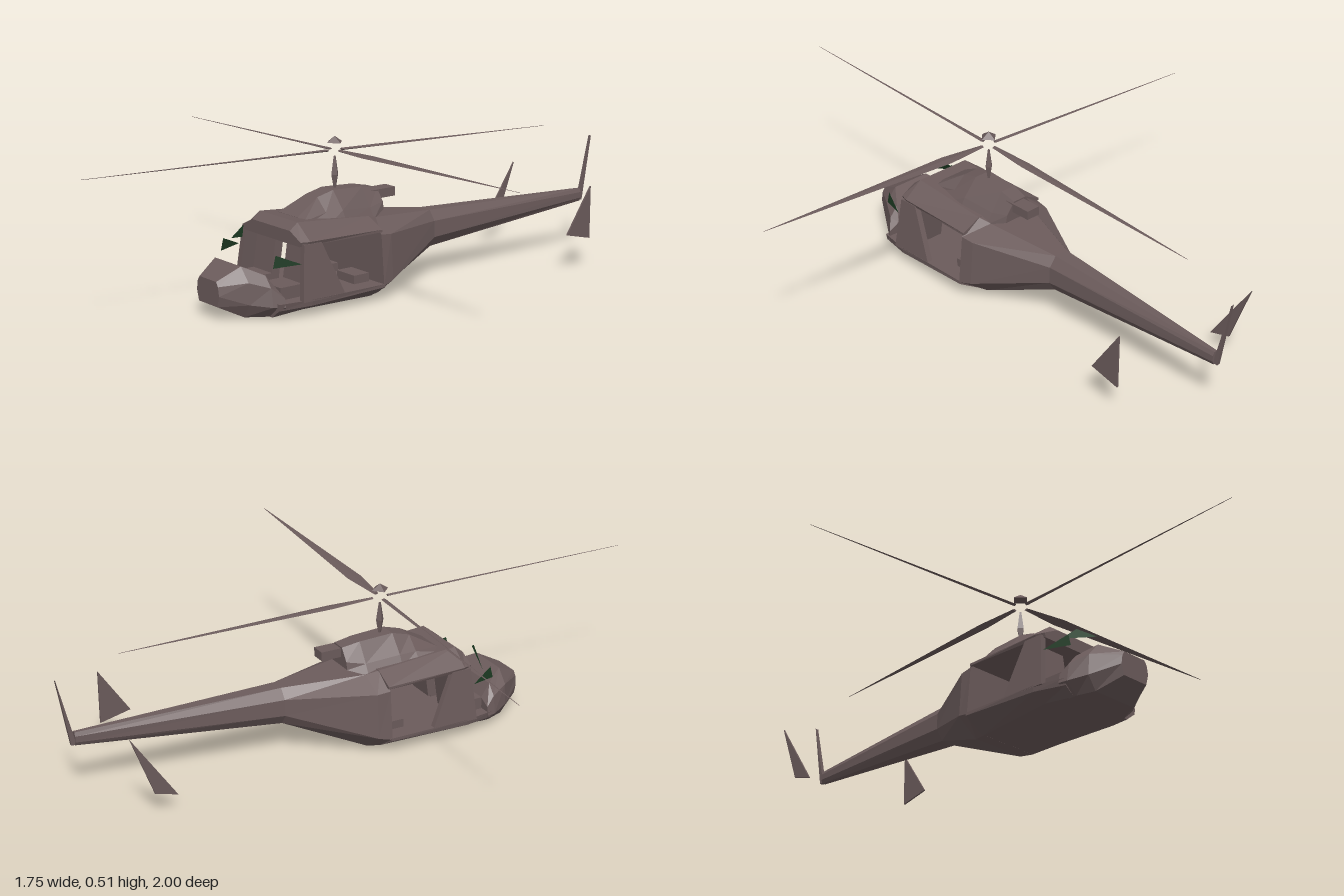
import * as THREE from 'three';

const brown = new THREE.MeshStandardMaterial({ color: 0x6b5b5b, flatShading: true, side: THREE.DoubleSide });
brown.name = 'brownHull';
const green = new THREE.MeshStandardMaterial({ color: 0x1c3a22, flatShading: true, side: THREE.DoubleSide });
green.name = 'greenGlass';

function meshFrom(name, positions, material = brown) {
  const g = new THREE.BufferGeometry();
  g.setAttribute('position', new THREE.Float32BufferAttribute(positions, 3));
  g.computeVertexNormals();
  const m = new THREE.Mesh(g, material);
  m.name = name;
  return m;
}

// Skin over a row of equal-length rings of [x, y, z], closed at both ends
function loft(name, rings) {
  const out = [];
  const n = rings[0].length;
  const tri = (a, b, c) => out.push(...a, ...b, ...c);
  for (let r = 0; r < rings.length - 1; r++) {
    const a = rings[r], b = rings[r + 1];
    for (let i = 0; i < n; i++) {
      const j = (i + 1) % n;
      tri(a[i], b[i], b[j]);
      tri(a[i], b[j], a[j]);
    }
  }
  const first = rings[0], last = rings[rings.length - 1];
  for (let i = 1; i < n - 1; i++) {
    tri(first[0], first[i], first[i + 1]);
    tri(last[0], last[i + 1], last[i]);
  }
  return meshFrom(name, out);
}

// Symmetric hull ring: steps are [halfWidth, y] from bottom to top
function ring(z, cx, steps) {
  const side = s => steps.map(([w, y]) => [cx + s * w, y, z]);
  return [...side(1), ...side(-1).reverse()];
}

function box(name, w, h, d, x, y, z) {
  const m = new THREE.Mesh(new THREE.BoxGeometry(w, h, d), brown);
  m.name = name;
  m.position.set(x, y, z);
  return m;
}

// Flat triangle plate with a little thickness across x
function finPlate(name, x, pts, t = 0.004) {
  const at = dx => pts.map(([y, z]) => [x + dx, y, z]);
  return loft(name, [at(t), at(-t)]);
}

// Tapered rotor blade from the hub to a pointed tip
function blade(name, tip, width) {
  const hub = new THREE.Vector3(0, 0.47, 0.09);
  const end = new THREE.Vector3(...tip);
  const dir = end.clone().sub(hub).normalize();
  const across = new THREE.Vector3(-dir.z, 0, dir.x).normalize();
  const slice = (f, w, h) => {
    const c = hub.clone().lerp(end, f);
    return [[w, 0], [0, h], [-w, 0], [0, -h]].map(([u, v]) =>
      c.clone().addScaledVector(across, u).add(new THREE.Vector3(0, v, 0)).toArray());
  };
  return loft(name, [slice(0.03, 0.008, 0.004), slice(0.2, width / 2, 0.003), slice(1, 0.001, 0.0006)]);
}

export function createModel() {
  const model = new THREE.Group();
  model.name = 'helicopter';

  // Nose
  model.add(loft('nose', [
    ring(0.58, -0.01, [[0.05, 0.045], [0.06, 0.08], [0.055, 0.11], [0.045, 0.125]]),
    ring(0.5, -0.015, [[0.085, 0.005], [0.115, 0.05], [0.11, 0.12], [0.07, 0.165]]),
    ring(0.44, -0.01, [[0.11, 0.003], [0.15, 0.04], [0.14, 0.1], [0.11, 0.135]]),
    ring(0.41, 0, [[0.12, 0.003], [0.165, 0.04], [0.16, 0.07], [0.12, 0.09]]),
  ]));

  // Cabin floor, roof and rear wall leading into the tail boom
  model.add(loft('floor', [
    ring(0.43, 0, [[0.12, 0.003], [0.155, 0.03], [0.16, 0.052]]),
    ring(0.32, 0, [[0.13, 0.012], [0.18, 0.035], [0.183, 0.055]]),
    ring(0.03, 0, [[0.11, 0], [0.185, 0.045], [0.185, 0.055]]),
  ]));
  model.add(loft('roof', [
    ring(0.345, 0, [[0.15, 0.22], [0.155, 0.235], [0.1, 0.262]]),
    ring(0.315, 0, [[0.16, 0.222], [0.165, 0.235], [0.1, 0.285]]),
    ring(0.03, 0, [[0.168, 0.222], [0.168, 0.23], [0.1, 0.262]]),
  ]));
  model.add(loft('rearBodyAndBoom', [
    ring(0.035, 0, [[0.11, 0], [0.185, 0.05], [0.17, 0.215], [0.1, 0.262]]),
    ring(-0.01, 0, [[0.1, 0.003], [0.175, 0.06], [0.165, 0.21], [0.085, 0.25]]),
    ring(-0.27, 0.024, [[0.028, 0.105], [0.052, 0.14], [0.05, 0.195], [0.025, 0.228]]),
    ring(-0.95, 0.061, [[0.006, 0.163], [0.012, 0.175], [0.012, 0.195], [0.006, 0.207]]),
  ]));

  // Slanted door posts and seats on both sides
  for (const s of [1, -1]) {
    const level = (y, x, front, back) =>
      [[s * x, y, front], [s * x, y, back], [s * (x - 0.02), y, back], [s * (x - 0.02), y, front]];
    model.add(loft('doorPost', [level(0.05, 0.183, 0.355, 0.19), level(0.228, 0.165, 0.338, 0.27)]));
    model.add(box('seatCushion', 0.1, 0.04, 0.1, s * 0.08, 0.075, 0.355));
    const back = box('seatBack', 0.1, 0.15, 0.03, s * 0.08, 0.135, 0.3);
    back.rotation.x = -0.15;
    model.add(back);
    model.add(box('rearSeat', 0.09, 0.03, 0.06, s * 0.08, 0.068, 0.08));
  }

  // Engine cowling with an overhanging exhaust
  model.add(loft('engineCowling', [
    ring(0.27, -0.01, [[0.09, 0.26], [0.085, 0.275], [0.05, 0.282]]),
    ring(0.18, -0.005, [[0.1, 0.26], [0.075, 0.29], [0.03, 0.332]]),
    ring(0.12, 0, [[0.1, 0.255], [0.08, 0.29], [0.03, 0.348]]),
    ring(0, 0, [[0.09, 0.245], [0.07, 0.28], [0.028, 0.342]]),
    ring(-0.06, 0.005, [[0.06, 0.265], [0.055, 0.29], [0.025, 0.33]]),
  ]));
  model.add(box('exhaust', 0.05, 0.03, 0.12, 0.012, 0.31, -0.07));

  // Mast and hub
  const mast = new THREE.Mesh(new THREE.CylinderGeometry(0.004, 0.014, 0.06, 4), brown);
  mast.name = 'mast';
  mast.position.set(0, 0.42, 0.09);
  const mastFoot = new THREE.Mesh(new THREE.CylinderGeometry(0.014, 0.004, 0.05, 4), brown);
  mastFoot.name = 'mastFoot';
  mastFoot.position.set(0, 0.366, 0.09);
  const hub = new THREE.Mesh(new THREE.ConeGeometry(0.03, 0.02, 4), brown);
  hub.name = 'hubCap';
  hub.position.set(0, 0.505, 0.09);
  model.add(mast, mastFoot, hub);

  // Four blades in a slightly tilted plane
  model.add(
    blade('leftBlade', [0.885, 0.492, 0.115], 0.05),
    blade('frontBlade', [-0.036, 0.492, 1], 0.012),
    blade('rightBlade', [-0.86, 0.446, 0.06], 0.014),
    blade('rearBlade', [0.036, 0.446, -0.8], 0.035),
  );

  // Tail fin and the two free-standing side plates
  model.add(finPlate('tailFin', 0.06, [[0.165, -0.945], [0.165, -0.962], [0.39, -1]], 0.006));
  model.add(finPlate('leftTailPlate', 0.29, [[0.125, -0.67], [0.1, -0.775], [0.28, -0.775]], 0.003));
  model.add(finPlate('rightTailPlate', -0.19, [[0.05, -0.72], [0.07, -0.795], [0.27, -0.87]], 0.003));

  // Remaining slivers of green glazing
  model.add(meshFrom('windscreenGlass', [-0.14, 0.2, 0.4, -0.02, 0.235, 0.44, -0.07, 0.258, 0.4], green));
  for (const s of [1, -1]) {
    model.add(meshFrom('sideGlass', [s * 0.14, 0.165, 0.44, s * 0.168, 0.17, 0.35, s * 0.14, 0.205, 0.43], green));
  }

  return model;
}
